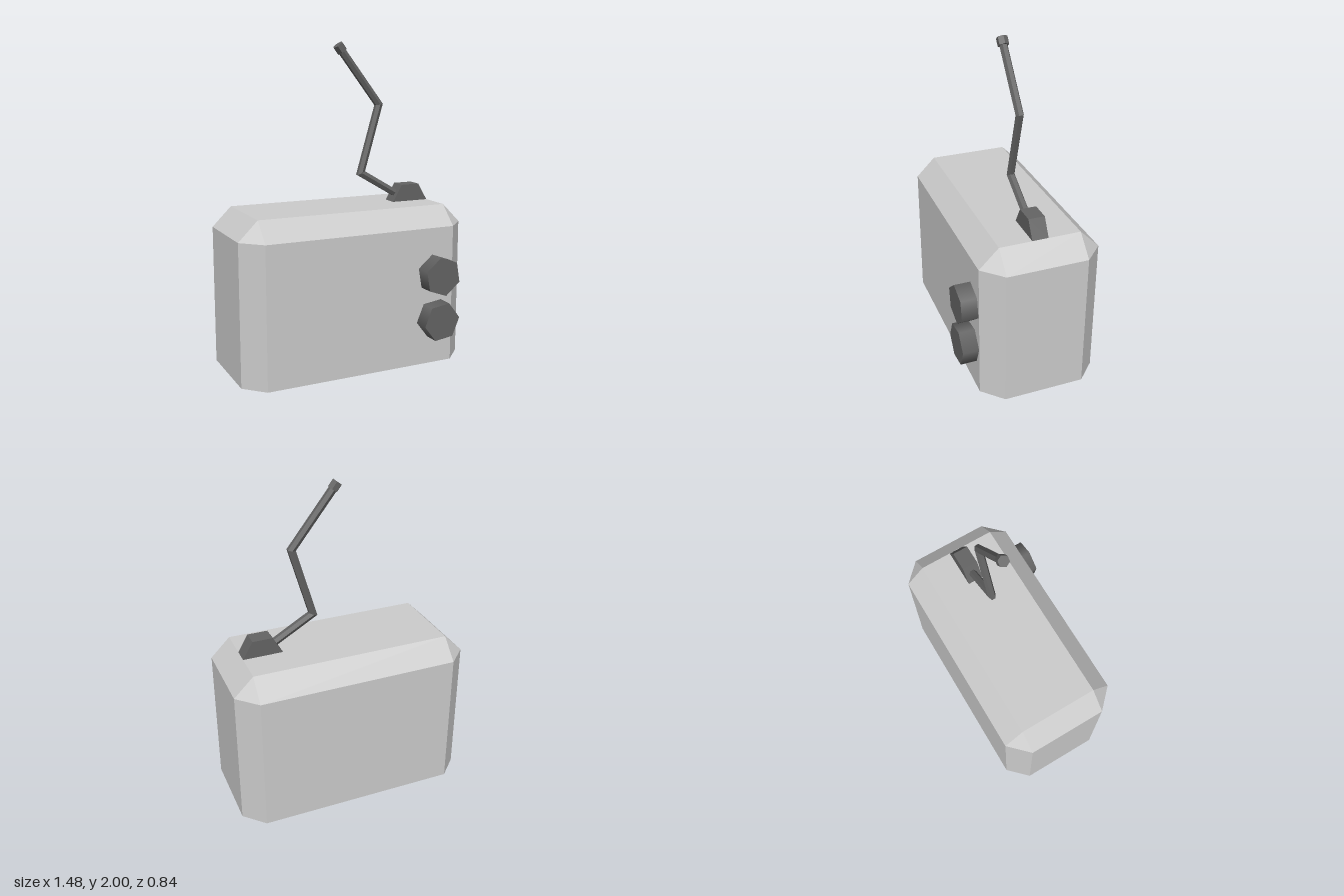
import * as THREE from 'three';

const shellMat = new THREE.MeshStandardMaterial({ color: 0xcccccc, flatShading: true, side: THREE.DoubleSide });
const darkMat = new THREE.MeshStandardMaterial({ color: 0x646464 });
const darkFlatMat = new THREE.MeshStandardMaterial({ color: 0x646464, flatShading: true });

const MID_Z = -0.05; // centre plane of the case and antenna

// Skin a list of equal-sized rings (counterclockwise about the sweep) and close the last one.
function loft(rings) {
  const pos = [];
  const tri = (a, b, c) => {
    const area = b.clone().sub(a).cross(c.clone().sub(a)).length();
    if (area > 1e-8) for (const p of [a, b, c]) pos.push(p.x, p.y, p.z);
  };
  const n = rings[0].length;
  for (let i = 0; i < rings.length - 1; i++) {
    for (let j = 0; j < n; j++) {
      const k = (j + 1) % n;
      const [a, b, c, d] = [rings[i][j], rings[i][k], rings[i + 1][k], rings[i + 1][j]];
      tri(a, b, c);
      tri(a, c, d);
    }
  }
  const end = rings[rings.length - 1];
  for (let j = 1; j < n - 1; j++) tri(end[0], end[j], end[j + 1]);
  const geo = new THREE.BufferGeometry();
  geo.setAttribute('position', new THREE.Float32BufferAttribute(pos, 3));
  geo.computeVertexNormals();
  return geo;
}

// Octagonal case, open underneath, with a bevelled top
function caseGeometry() {
  const X = 0.74, Z = 0.37, BEVEL = 0.12;
  const x = X - BEVEL, z = Z - BEVEL;
  const outline = [[-x, Z], [x, Z], [X, z], [X, -z], [x, -Z], [-x, -Z], [-X, -z], [-X, z]];
  const ring = (y, lx, lz) => outline.map(([px, pz]) => new THREE.Vector3(
    THREE.MathUtils.clamp(px, -lx, lx), y, THREE.MathUtils.clamp(pz, -lz, lz) + MID_Z));
  return loft([ring(0, X, Z), ring(0.87, X, Z), ring(0.99, x, z)]);
}

// Hexagonal rod with mitred bends, following a path in the x-y plane
function rodGeometry(path, radius) {
  const pts = path.map(([x, y]) => new THREE.Vector2(x, y));
  const dir = (i) => pts[i + 1].clone().sub(pts[i]).normalize();
  const rings = pts.map((p, i) => {
    const before = dir(Math.max(i - 1, 0));
    const after = dir(Math.min(i, pts.length - 2));
    const along = before.clone().add(after).normalize();
    const stretch = 1 / along.dot(before);
    return Array.from({ length: 6 }, (_, k) => {
      const a = k * Math.PI / 3;
      const s = Math.sin(a) * radius * stretch;
      return new THREE.Vector3(p.x + along.y * s, p.y - along.x * s, MID_Z + Math.cos(a) * radius);
    });
  });
  return loft(rings);
}

export function createModel() {
  const model = new THREE.Group();
  const add = (name, geo, mat, x = 0, y = 0, z = 0) => {
    const mesh = new THREE.Mesh(geo, mat);
    mesh.name = name;
    mesh.position.set(x, y, z);
    model.add(mesh);
    return mesh;
  };

  add('case', caseGeometry(), shellMat);

  // Hexagonal discs facing front: two knobs, and the antenna mount sunk halfway into the top
  const disc = (angle) => new THREE.CylinderGeometry(0.124, 0.124, 0.1, 6)
    .rotateX(Math.PI / 2)
    .rotateZ(Math.PI / 2 + angle);
  add('upperKnob', disc(-0.35), darkMat, 0.494, 0.58, 0.37);
  add('lowerKnob', disc(0.13), darkMat, 0.493, 0.292, 0.37);
  add('antennaMount', disc(0), darkFlatMat, 0.495, 0.99, MID_Z);

  // Bent antenna and its tip
  const path = [[0.47, 1.005], [0.16, 1.185], [0.285, 1.613], [0.018, 1.955]];
  add('antennaRod', rodGeometry(path, 0.025), darkFlatMat);
  const tip = new THREE.CylinderGeometry(0.034, 0.034, 0.05, 6).rotateY(Math.PI / 6);
  add('antennaTip', tip, darkFlatMat, 0.016, 1.959, MID_Z).rotation.z = 0.66;

  return model;
}
